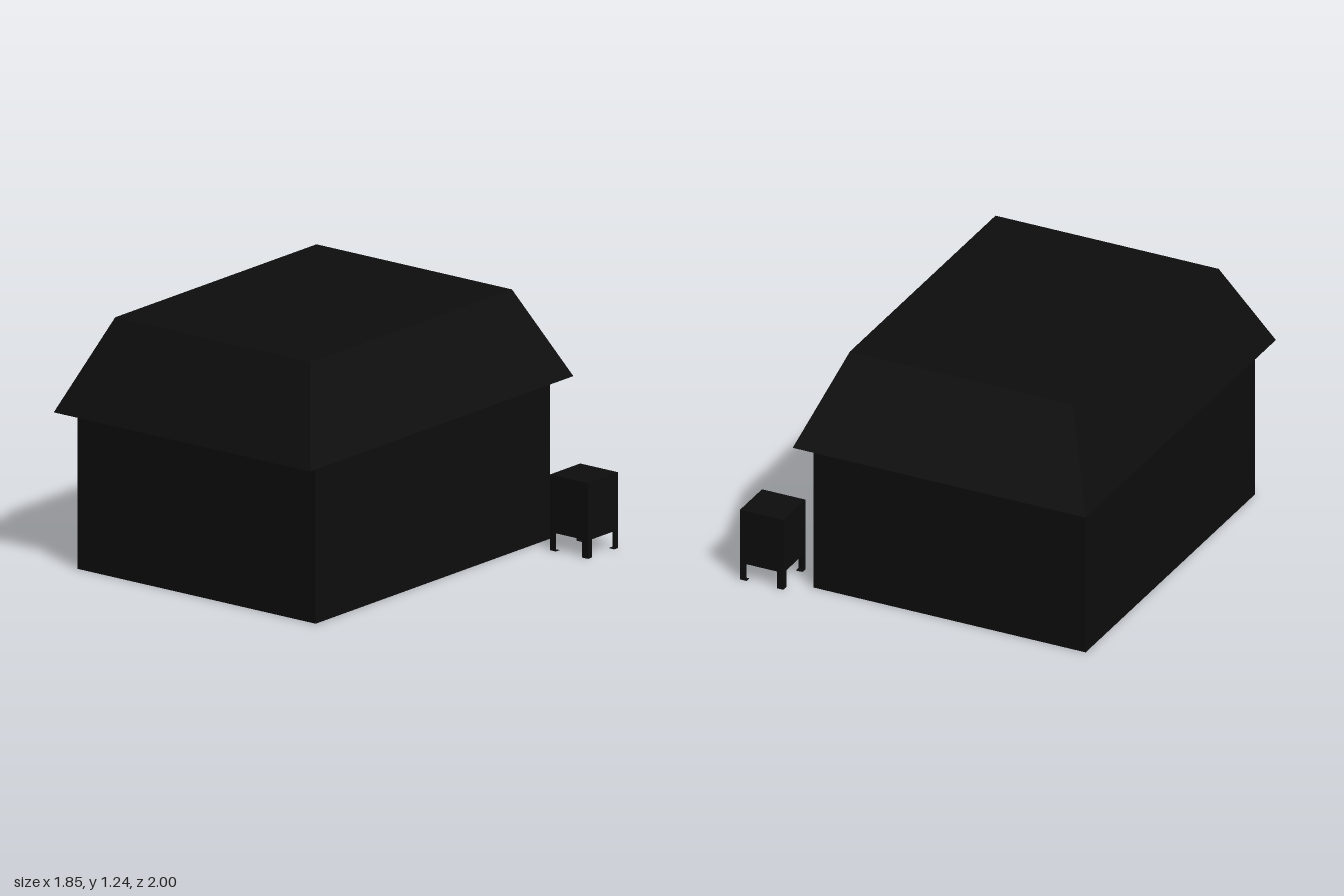
import * as THREE from 'three';

const black = new THREE.MeshStandardMaterial({ color: 0x0d0d0d, side: THREE.DoubleSide });
black.name = 'black';

// Box given by its minimum and maximum corners
function box(name, [x0, y0, z0], [x1, y1, z1]) {
  const geo = new THREE.BoxGeometry(x1 - x0, y1 - y0, z1 - z0);
  geo.translate((x0 + x1) / 2, (y0 + y1) / 2, (z0 + z1) / 2);
  const mesh = new THREE.Mesh(geo, black);
  mesh.name = name;
  return mesh;
}

// Hipped roof: a box whose upper corners are drawn inwards
function roof() {
  const mesh = box('roof', [-0.925, 0.79, -1], [0.63, 1.24, 1]);
  const pos = mesh.geometry.attributes.position;
  for (let i = 0; i < pos.count; i++) {
    if (pos.getY(i) < 1) continue;
    pos.setX(i, pos.getX(i) < 0 ? -0.74 : 0.445);
    pos.setZ(i, Math.sign(pos.getZ(i)) * 0.765);
  }
  mesh.geometry = mesh.geometry.toNonIndexed();
  mesh.geometry.computeVertexNormals();
  return mesh;
}

// Corner leg: two outer panels and a foot plate, open on the inside
function leg(sx, sz) {
  const w = 0.035, d = 0.03, h = 0.09, half = 0.115;
  const group = new THREE.Group();
  group.name = 'leg';
  const add = (name, geo) => {
    const mesh = new THREE.Mesh(geo, black);
    mesh.name = name;
    group.add(mesh);
    return mesh;
  };
  const front = add('legPanel', new THREE.PlaneGeometry(w, h));
  front.position.set(sx * (half - w / 2), h / 2, sz * half);
  if (sz < 0) front.rotation.y = Math.PI;
  const side = add('legSidePanel', new THREE.PlaneGeometry(d, h));
  side.position.set(sx * half, h / 2, sz * (half - d / 2));
  side.rotation.y = sx * Math.PI / 2;
  const foot = add('foot', new THREE.PlaneGeometry(w, d));
  foot.position.set(sx * (half - w / 2), 0, sz * (half - d / 2));
  foot.rotation.x = Math.PI / 2;
  return group;
}

export function createModel() {
  const model = new THREE.Group();
  model.name = 'houseWithBin';
  model.add(box('walls', [-0.87, 0, -0.89], [0.575, 0.79, 0.89]), roof());

  // Bin on four legs beside the back corner
  const bin = new THREE.Group();
  bin.name = 'bin';
  bin.add(box('binBody', [-0.115, 0.09, -0.115], [0.115, 0.375, 0.115]));
  for (const sx of [-1, 1]) for (const sz of [-1, 1]) bin.add(leg(sx, sz));
  bin.position.set(0.807, 0, -0.86);
  model.add(bin);
  return model;
}
